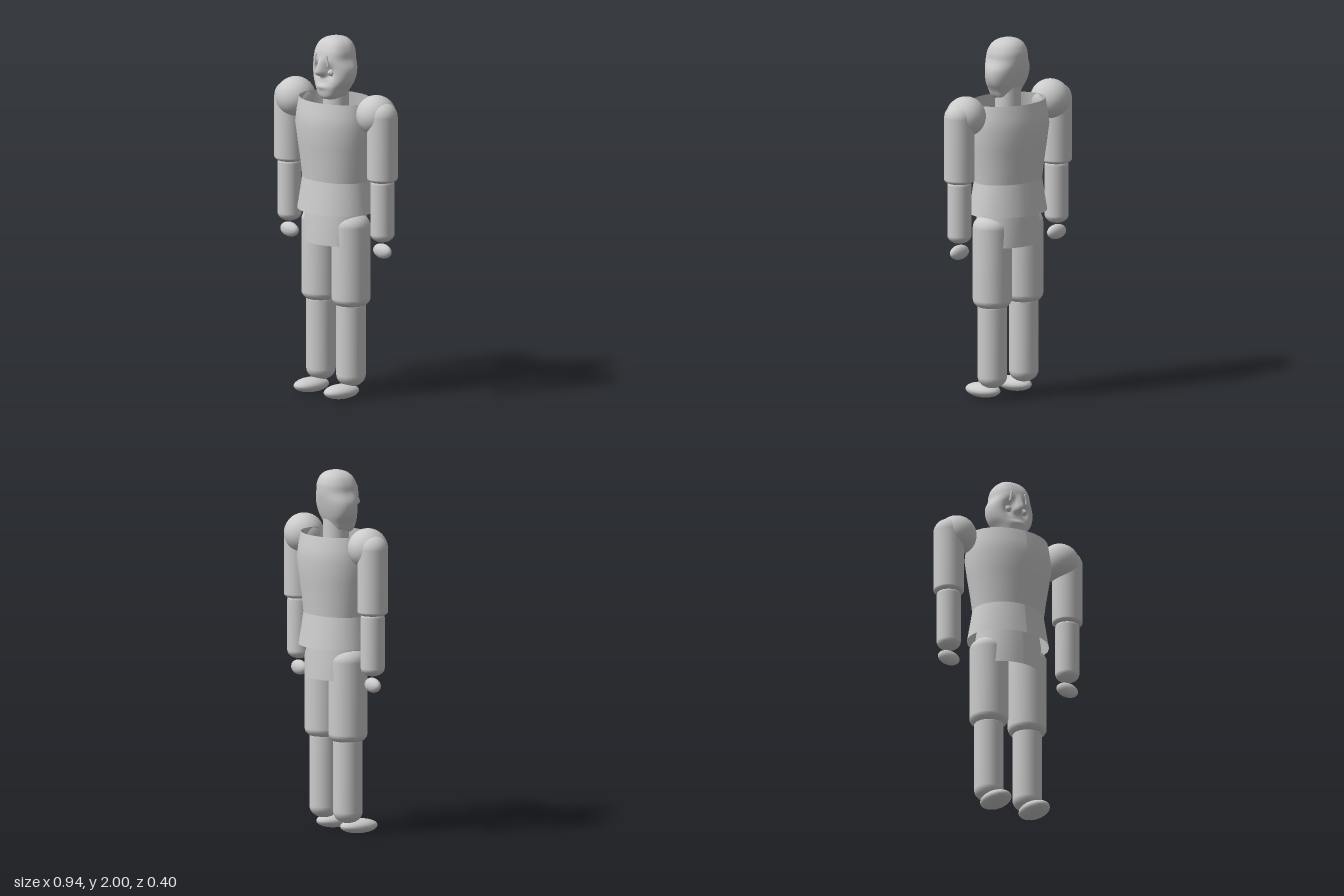
import * as THREE from 'three';

const grey = new THREE.MeshStandardMaterial({ color: 0xcccccc });
const greyBoth = new THREE.MeshStandardMaterial({ color: 0xcccccc, side: THREE.DoubleSide });

function add(parent, name, geometry, x = 0, y = 0, z = 0, material = grey) {
  const mesh = new THREE.Mesh(geometry, material);
  mesh.name = name;
  mesh.position.set(x, y, z);
  parent.add(mesh);
  return mesh;
}

// Upright limb with elliptical end caps of given heights
function limb(radius, bottom, top, capBottom, capTop) {
  const pts = [];
  const n = 8;
  for (let i = 0; i <= n; i++) {
    const a = (i / n) * Math.PI / 2;
    pts.push(new THREE.Vector2(radius * Math.sin(a), bottom + capBottom * (1 - Math.cos(a))));
  }
  for (let i = 0; i <= n; i++) {
    const a = (i / n) * Math.PI / 2;
    pts.push(new THREE.Vector2(radius * Math.cos(a), top - capTop * (1 - Math.sin(a))));
  }
  return new THREE.LatheGeometry(pts, 28);
}

function ellipsoid(rx, ry, rz) {
  return new THREE.SphereGeometry(1, 24, 16).scale(rx, ry, rz);
}

// Open elliptical shell; rows are [y, half width, half depth]
function shell(rows) {
  const g = new THREE.CylinderGeometry(1, 1, 1, 28, rows.length - 1, true);
  const p = g.attributes.position;
  for (let i = 0; i < p.count; i++) {
    const row = rows[Math.round((p.getY(i) + 0.5) * (rows.length - 1))];
    p.setXYZ(i, p.getX(i) * row[1], row[0], p.getZ(i) * row[2]);
  }
  g.computeVertexNormals();
  return g;
}

// Head: rows are [y, half width, back depth, front depth]
function headGeometry() {
  const rows = [
    [1.652, 0.001, 0.001, 0.001], [1.655, 0.05, 0.03, 0.085], [1.675, 0.074, 0.045, 0.1],
    [1.71, 0.094, 0.06, 0.105], [1.75, 0.122, 0.076, 0.1], [1.79, 0.135, 0.088, 0.096],
    [1.83, 0.134, 0.097, 0.098], [1.88, 0.112, 0.104, 0.111], [1.92, 0.106, 0.103, 0.104],
    [1.96, 0.088, 0.088, 0.084], [1.985, 0.058, 0.06, 0.055], [2.0, 0.001, 0.001, 0.001],
  ];
  const sides = new THREE.CatmullRomCurve3(rows.map(r => new THREE.Vector3(r[1], r[0], 0)));
  const depths = new THREE.CatmullRomCurve3(rows.map(r => new THREE.Vector3(r[2], r[3], 0)));
  const g = new THREE.CylinderGeometry(1, 1, 1, 80, 55, true, Math.PI);
  const p = g.attributes.position;
  const bump = (v, c, s) => Math.exp(-(((v - c) / s) ** 2));
  for (let i = 0; i < p.count; i++) {
    const t = THREE.MathUtils.clamp(p.getY(i) + 0.5, 0, 1);
    const s = p.getX(i), c = p.getZ(i);
    const w = sides.getPoint(t), d = depths.getPoint(t);
    const e = c > 0 ? 0.75 : 0.95;
    const x = Math.sign(s) * Math.abs(s) ** e * Math.max(w.x, 0.001);
    const y = w.y;
    let z = c > 0 ? c ** e * d.y : -(Math.abs(c) ** e) * d.x;
    if (c > 0) {
      // Nose ridge, eye sockets and lips
      const nose = THREE.MathUtils.smoothstep(y, 1.77, 1.805) * (1 - THREE.MathUtils.smoothstep(y, 1.805, 1.9));
      z += 0.058 * nose * bump(x, 0, 0.012 + 0.01 * nose);
      z -= 0.018 * bump(Math.abs(x), 0.05, 0.025) * bump(y, 1.805, 0.035);
      z += 0.012 * bump(x, 0, 0.04) * bump(y, 1.725, 0.014);
    }
    p.setXYZ(i, x, y, z);
  }
  g.computeVertexNormals();
  return g;
}

export function createModel() {
  const model = new THREE.Group();
  model.name = 'mannequin';

  // Body shells
  add(model, 'chest', shell([
    [1.2, 0.207, 0.165], [1.3, 0.22, 0.175], [1.4, 0.237, 0.187], [1.51, 0.252, 0.2],
    [1.58, 0.245, 0.189], [1.65, 0.234, 0.175],
  ]), 0, 0, 0, greyBoth);
  add(model, 'waist', shell([[1.03, 0.237, 0.192], [1.12, 0.222, 0.178], [1.21, 0.207, 0.166]]), 0, 0, 0, greyBoth);
  add(model, 'hips', shell([[0.855, 0.2, 0.158], [1.03, 0.19, 0.152], [1.2, 0.165, 0.137]]), 0, 0, 0, greyBoth);

  // Head and neck
  const head = new THREE.Group();
  head.name = 'head';
  model.add(head);
  add(head, 'skull', headGeometry(), 0, 0, 0, greyBoth);
  add(head, 'neck', new THREE.CylinderGeometry(0.07, 0.07, 0.14, 28, 1, true), 0, 1.66, 0, greyBoth);

  for (const side of [1, -1]) {
    const label = side > 0 ? 'left' : 'right';

    // Face details
    add(head, label + 'Eye', new THREE.SphereGeometry(0.02, 16, 12), side * 0.05, 1.807, 0.076);
    add(head, label + 'Pupil', new THREE.SphereGeometry(0.009, 12, 8), side * 0.05, 1.807, 0.092);
    const brow = add(head, label + 'Brow', new THREE.CapsuleGeometry(0.007, 0.055, 4, 8), side * 0.048, 1.875, 0.105);
    brow.rotation.z = side * 0.2;

    // Arm
    const arm = new THREE.Group();
    arm.name = label + 'Arm';
    model.add(arm);
    add(arm, 'shoulder', new THREE.SphereGeometry(0.11, 32, 20), side * 0.335, 1.605, 0);
    add(arm, 'upperArm', limb(0.084, 1.232, 1.685, 0.03, 0.08), side * 0.386, 0, 0);
    add(arm, 'forearm', limb(0.066, 0.905, 1.27, 0.045, 0.04), side * 0.386, 0, 0);
    add(arm, 'hand', ellipsoid(0.068, 0.041, 0.032), side * 0.386, 0.855, 0);

    // Leg
    const leg = new THREE.Group();
    leg.name = label + 'Leg';
    model.add(leg);
    add(leg, 'thigh', limb(0.107, 0.495, 1.035, 0.06, 0.08), side * 0.125, 0, 0);
    add(leg, 'shin', limb(0.081, 0.06, 0.55, 0.065, 0.04), side * 0.125, 0, 0);
    add(leg, 'foot', ellipsoid(0.073, 0.04, 0.112), side * 0.125, 0.04, 0.07);
  }
  return model;
}
